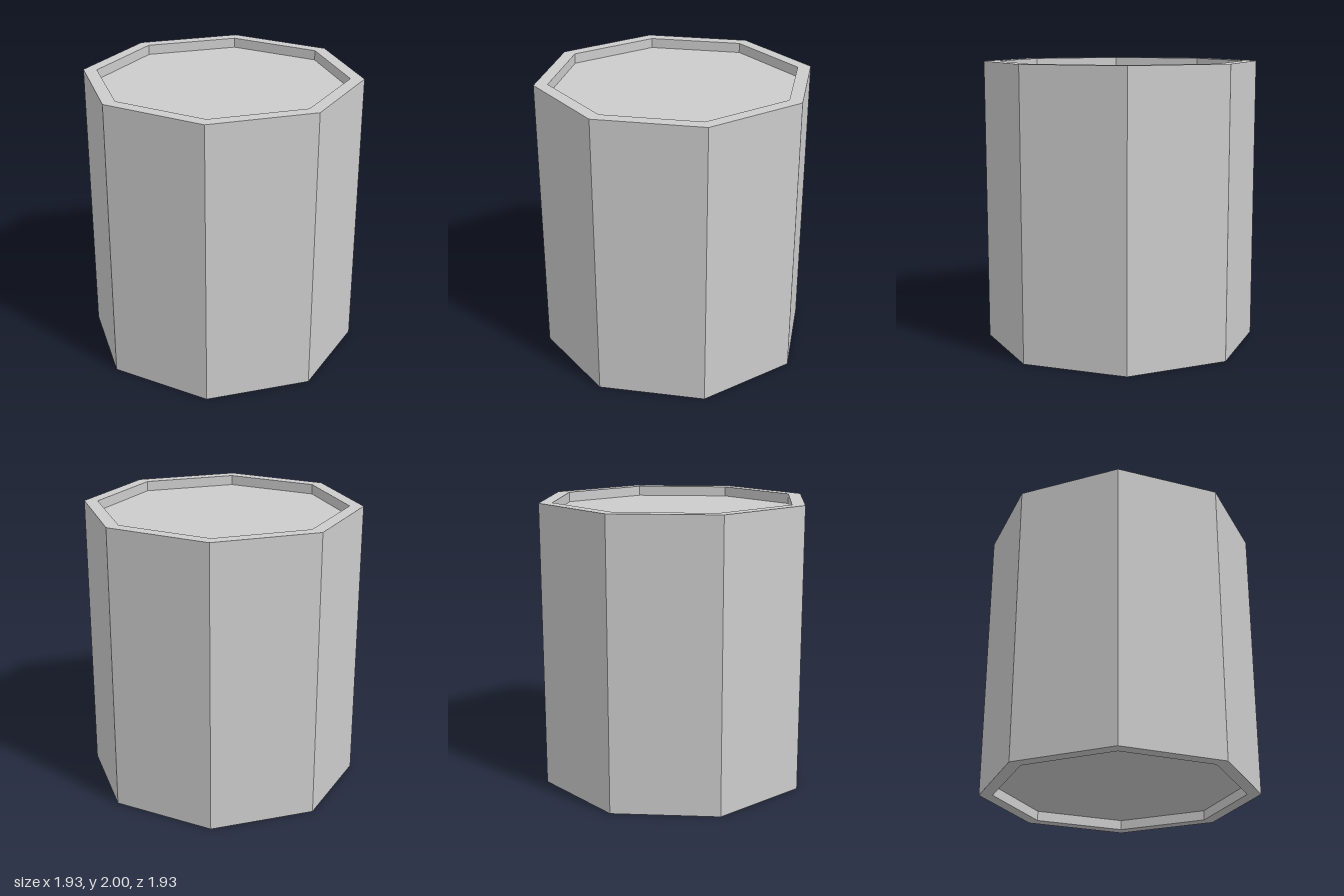
import * as THREE from 'three';

const SIDES = 8, HEIGHT = 2, OUTER = 0.965, INNER = 0.87, RECESS = 0.07;

export function createModel() {
  const group = new THREE.Group();
  group.name = 'octagonalDrum';
  const material = new THREE.MeshStandardMaterial({ color: 0xcccccc, flatShading: true });

  const add = (name, geometry) => {
    const flat = geometry.toNonIndexed();
    flat.computeVertexNormals();
    const mesh = new THREE.Mesh(flat, material);
    mesh.name = name;
    group.add(mesh);
    return mesh;
  };

  // Eight-sided wall with a flat rim and a shallow inner lip at each end
  const profile = [
    [INNER, RECESS], [INNER, 0], [OUTER, 0],
    [OUTER, HEIGHT], [INNER, HEIGHT], [INNER, HEIGHT - RECESS],
  ].map(([r, y]) => new THREE.Vector2(r, y));
  add('wall', new THREE.LatheGeometry(profile, SIDES));

  // Sunken end panels
  const top = add('topPanel', new THREE.CircleGeometry(INNER, SIDES).rotateX(-Math.PI / 2));
  top.position.y = HEIGHT - RECESS;
  const bottom = add('bottomPanel', new THREE.CircleGeometry(INNER, SIDES).rotateX(Math.PI / 2));
  bottom.position.y = RECESS;

  return group;
}
